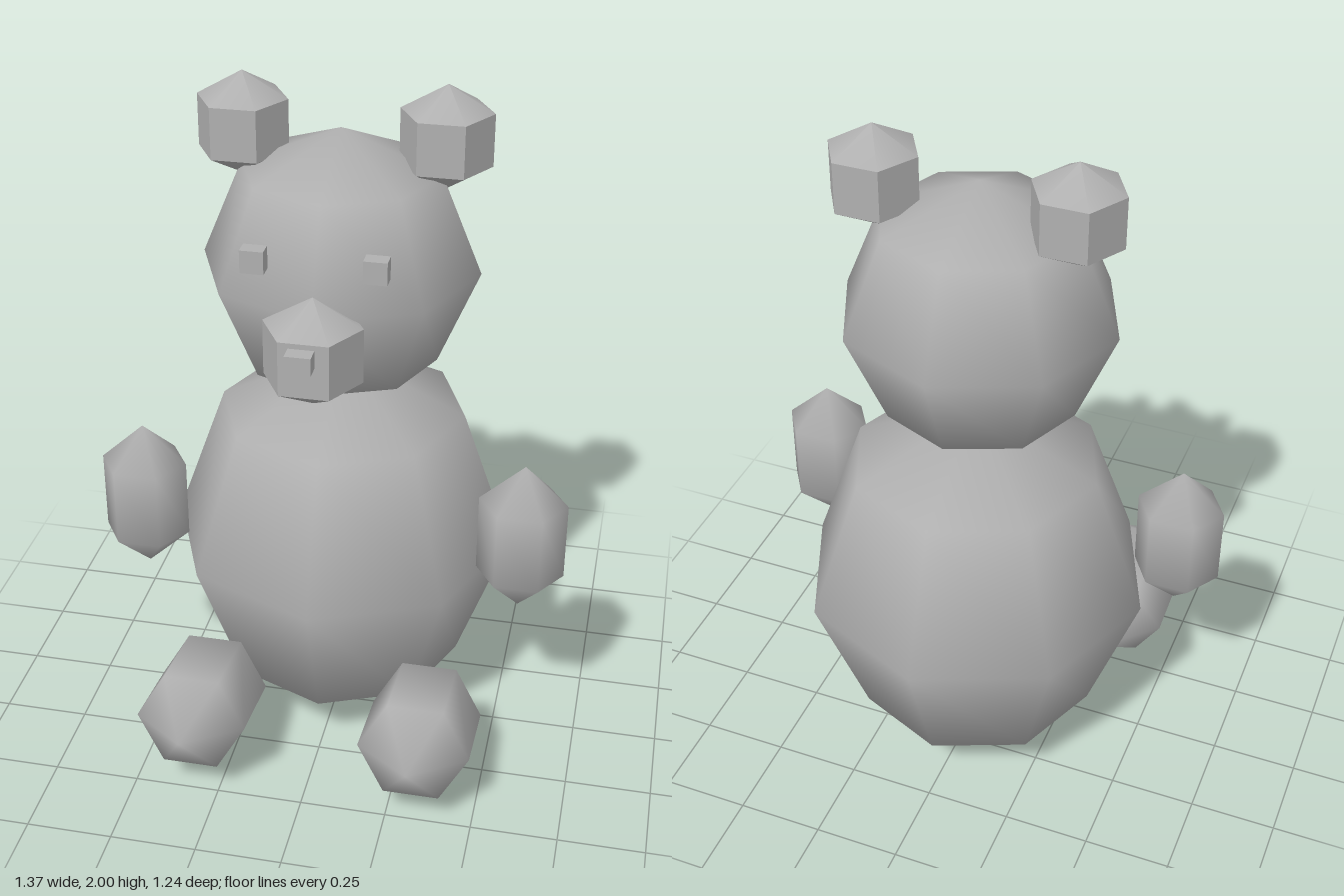
import * as THREE from 'three';
import { toCreasedNormals } from 'three/addons/utils/BufferGeometryUtils.js';

export function createModel() {
  const bear = new THREE.Group();
  bear.name = 'teddyBear';
  const grey = new THREE.MeshStandardMaterial({ color: 0xb0b0b0 });
  grey.name = 'grey';

  const add = (name, geometry, x, y, z) => {
    const mesh = new THREE.Mesh(geometry, grey);
    mesh.name = name;
    mesh.position.set(x, y, z);
    bear.add(mesh);
    return mesh;
  };
  // Low-poly ellipsoid with smooth normals
  const ball = (rx, ry, rz, around, rows) =>
    new THREE.SphereGeometry(1, around, rows).scale(rx, ry, rz);
  // Small six-sided knob with crisp side edges
  const knob = (r) => toCreasedNormals(ball(r, r, r, 6, 3), Math.PI / 4);

  // Body and head
  add('body', ball(0.51, 0.59, 0.51, 8, 4), 0, 0.59, -0.105);
  add('head', ball(0.393, 0.393, 0.385, 8, 4), 0, 1.48, -0.07);

  // Muzzle and nose
  add('muzzle', knob(0.157), 0, 1.385, 0.292);
  add('nose', new THREE.BoxGeometry(0.07, 0.05, 0.045), 0, 1.435, 0.453);

  // Paired parts
  for (const [side, s] of [['left', 1], ['right', -1]]) {
    add(side + 'Ear', knob(0.147), s * 0.28, 1.853, -0.107);
    add(side + 'Eye', new THREE.BoxGeometry(0.064, 0.064, 0.045), s * 0.163, 1.622, 0.265);
    add(side + 'Arm', ball(0.147, 0.235, 0.13, 6, 3), s * 0.56, 0.735, 0.078);
    const leg = add(side + 'Leg', ball(0.185, 0.26, 0.184, 6, 3), s * 0.326, 0.22, 0.365);
    leg.rotation.x = 1.4;
  }
  return bear;
}
